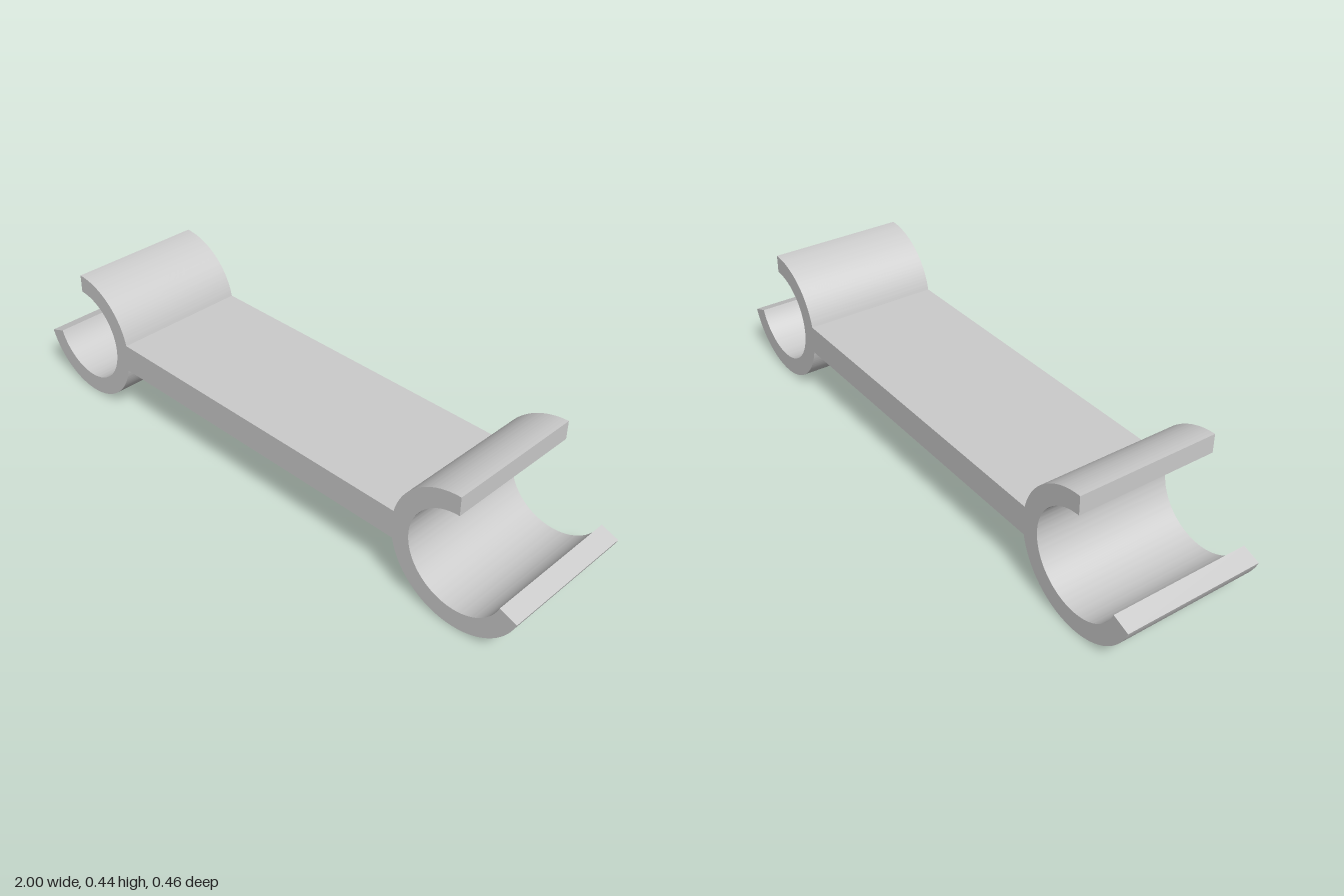
import * as THREE from 'three';
import { toCreasedNormals } from 'three/addons/utils/BufferGeometryUtils.js';

const OUTER = 0.2215;   // clip outer radius
const INNER = 0.161;    // clip inner radius
const CX = 0.792;       // clip centre distance from the middle
const CY = OUTER;
const HALF_BAR = 0.0475;
const DEPTH = 0.458;

export function createModel() {
  const group = new THREE.Group();
  group.name = 'doubleClip';

  const rad = THREE.MathUtils.degToRad;
  const join = Math.asin(HALF_BAR / OUTER); // where the bar meets a clip

  // One continuous outline: both open clips and the bar between them
  const profile = new THREE.Shape();

  // Left clip (+x), open outward between 90 and -20 degrees
  profile.absarc(CX, CY, OUTER, Math.PI + join, rad(340), false);
  profile.absarc(CX, CY, INNER, rad(340), rad(90), true);
  profile.absarc(CX, CY, OUTER, rad(90), Math.PI - join, false);

  // Right clip (-x), mirrored
  profile.absarc(-CX, CY, OUTER, join, rad(90), false);
  profile.absarc(-CX, CY, INNER, rad(90), rad(-160), true);
  profile.absarc(-CX, CY, OUTER, rad(200), 2 * Math.PI - join, false);
  profile.closePath();

  const extruded = new THREE.ExtrudeGeometry(profile, {
    depth: DEPTH, bevelEnabled: false, curveSegments: 48,
  });
  extruded.translate(0, 0, -DEPTH / 2);

  const mesh = new THREE.Mesh(
    toCreasedNormals(extruded, rad(30)),
    new THREE.MeshStandardMaterial({ color: 0xcccccc }),
  );
  mesh.name = 'clipsAndBar';
  group.add(mesh);
  return group;
}
